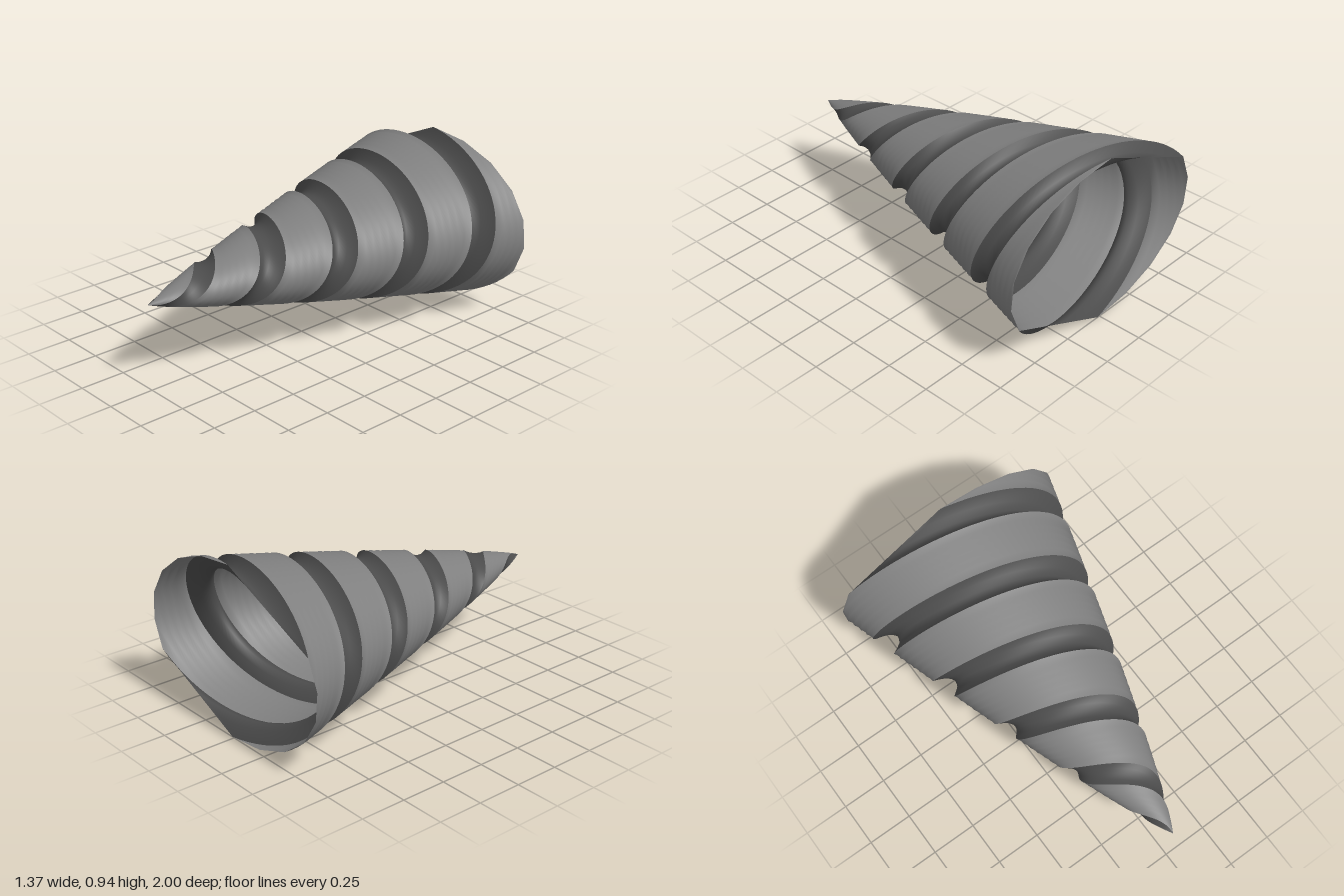
import * as THREE from 'three';

const RX = 0.69, RY = 0.47;      // half width and half height of the open end
const PITCH = 0.395;             // distance between neighbouring grooves
const HALF_CUT = THREE.MathUtils.degToRad(32);
const LAYERS = 200;

// Shell radius (0..1) along the length, from the tip at z = 1 to the mouth at z = -1
const taper = (z) => Math.max(0.004, Math.pow((1 - z) / 2, 0.86));

// Direction of a groove's middle at depth z
const grooveAngle = (z) => Math.PI - ((z + 0.73) / PITCH) * Math.PI;

// Sweeps a piece of the unit-circle section along z while twisting and growing it
function twistedStrip(section, start) {
  const pos = [], index = [], n = section.length;
  for (let i = 0; i <= LAYERS; i++) {
    const z = 1 - (2 * i) / LAYERS;
    const r = taper(z);
    const turn = grooveAngle(z) + start * Math.PI;
    const c = Math.cos(turn), s = Math.sin(turn);
    for (const [x, y] of section) {
      pos.push(RX * r * (x * c - y * s), RY + RY * r * (x * s + y * c), z);
    }
  }
  for (let i = 0; i < LAYERS; i++) {
    for (let j = 0; j < n - 1; j++) {
      const a = i * n + j, b = a + 1, c = a + n, d = c + 1;
      index.push(a, c, b, b, c, d);
    }
  }
  const geo = new THREE.BufferGeometry();
  geo.setAttribute('position', new THREE.Float32BufferAttribute(pos, 3));
  geo.setIndex(index);
  geo.computeVertexNormals();
  return geo;
}

export function createModel() {
  const group = new THREE.Group();
  group.name = 'spiralCone';

  const bandGrey = new THREE.MeshStandardMaterial({ color: 0x808080, side: THREE.DoubleSide });
  bandGrey.name = 'bandGrey';
  const grooveGrey = new THREE.MeshStandardMaterial({ color: 0x4c4c4c, side: THREE.DoubleSide });
  grooveGrey.name = 'grooveGrey';

  // Raised band: an arc in six facets
  const arc = [];
  for (let j = 0; j <= 6; j++) {
    const a = HALF_CUT + (j / 6) * (Math.PI - 2 * HALF_CUT);
    arc.push([Math.cos(a), Math.sin(a)]);
  }

  // Groove: a straight chord closing the gap between the arcs
  const chord = [];
  for (let j = 0; j <= 4; j++) {
    chord.push([Math.cos(HALF_CUT), Math.sin(HALF_CUT) * (j / 2 - 1)]);
  }

  // Two interleaved starts of each
  for (let start = 0; start < 2; start++) {
    const band = new THREE.Mesh(twistedStrip(arc, start), bandGrey);
    band.name = `spiralBand${start + 1}`;
    const groove = new THREE.Mesh(twistedStrip(chord, start), grooveGrey);
    groove.name = `spiralGroove${start + 1}`;
    group.add(band, groove);
  }
  return group;
}
